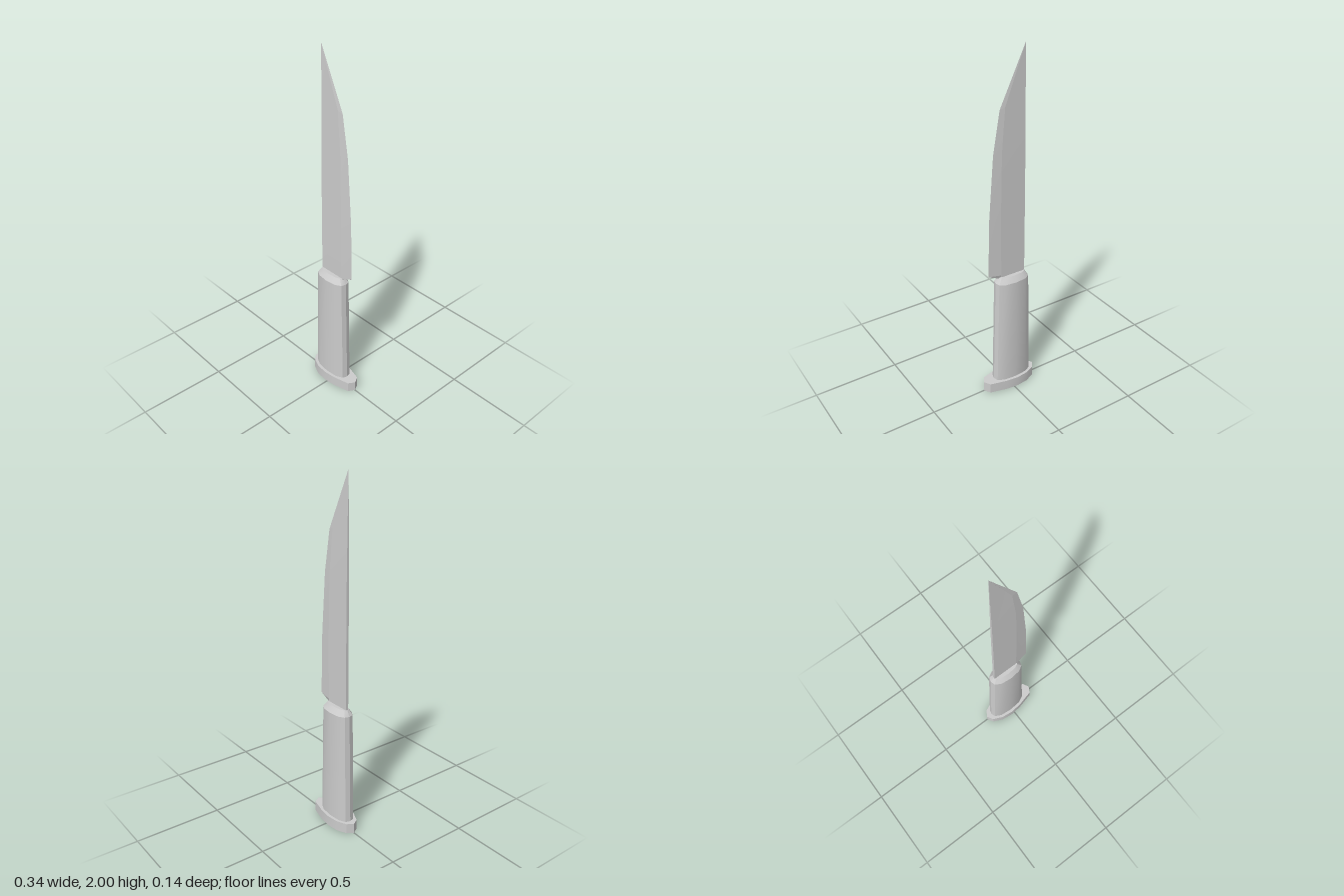
import * as THREE from 'three';
import { toCreasedNormals } from 'three/addons/utils/BufferGeometryUtils.js';

// Mirror a half outline of [x, y, z >= 0] points across z = 0, running from -x to +x
function mirrorRing(half) {
  const back = half.filter((p) => p[2] > 0).reverse().map(([x, y, z]) => [x, y, -z]);
  return [...half, ...back];
}

// Skin rings of equal point count, bottom to top, and close both ends
function loft(name, rings, crease) {
  const n = rings[0].length;
  const index = [];
  for (let r = 0; r < rings.length - 1; r++) {
    for (let i = 0; i < n; i++) {
      const a = r * n + i, b = r * n + ((i + 1) % n);
      index.push(a, b, b + n, a, b + n, a + n);
    }
  }
  const top = (rings.length - 1) * n;
  for (let i = 1; i < n - 1; i++) {
    index.push(0, i + 1, i);
    index.push(top, top + i, top + i + 1);
  }
  const geometry = new THREE.BufferGeometry();
  geometry.setAttribute('position', new THREE.Float32BufferAttribute(rings.flat(2), 3));
  geometry.setIndex(index);
  const material = new THREE.MeshStandardMaterial({ color: 0xcccccc });
  const mesh = new THREE.Mesh(toCreasedNormals(geometry, crease), material);
  mesh.name = name;
  return mesh;
}

export function createModel() {
  const knife = new THREE.Group();
  knife.name = 'knife';

  // Pommel plate: flat prism, longer towards the cutting edge
  const plate = [[-0.17, 0], [-0.148, 0.036], [-0.09, 0.062], [-0.022, 0.07],
    [0.05, 0.062], [0.147, 0.037], [0.168, 0]];
  knife.add(loft('pommel', [0, 0.06].map((y) => mirrorRing(plate.map(([x, z]) => [x, y, z]))), 0.45));

  // Grip: oval section narrowing upwards, with a bevelled shoulder
  const oval = [[-1, 0], [-0.93, 0.51], [-0.61, 0.87], [0, 1], [0.61, 0.87], [0.93, 0.51], [1, 0]];
  const gripLevels = [
    { y: 0.05, cx: -0.018, rx: 0.118, rz: 0.053 },
    { y: 0.71, cx: -0.02, rx: 0.102, rz: 0.053 },
    { y: 0.742, cx: -0.022, rx: 0.08, rz: 0.03 },
  ];
  knife.add(loft('grip', gripLevels.map(({ y, cx, rx, rz }) =>
    mirrorRing(oval.map(([x, z]) => [cx + x * rx, y, z * rz]))), 0.5));

  // Blade: straight spine, flat sides and a bevel down to the curved edge
  // each level: spine y, bevel x and y, edge x and y, half thickness
  const bladeLevels = [
    [0.73, 0.04, 0.73, 0.052, 0.73, 0.008],
    [0.752, 0.05, 0.755, 0.127, 0.766, 0.008],
    [1.1, 0.05, 1.1, 0.118, 1.1, 0.008],
    [1.46, 0.042, 1.46, 0.09, 1.46, 0.007],
    [1.72, 0.02, 1.7, 0.05, 1.69, 0.004],
    [2.0, -0.0995, 1.999, -0.099, 1.998, 0.0004],
  ];
  knife.add(loft('blade', bladeLevels.map(([sy, bx, by, ex, ey, t]) =>
    mirrorRing([[-0.1, sy, t], [bx, by, t], [ex, ey, 0]])), 0.05));

  return knife;
}
